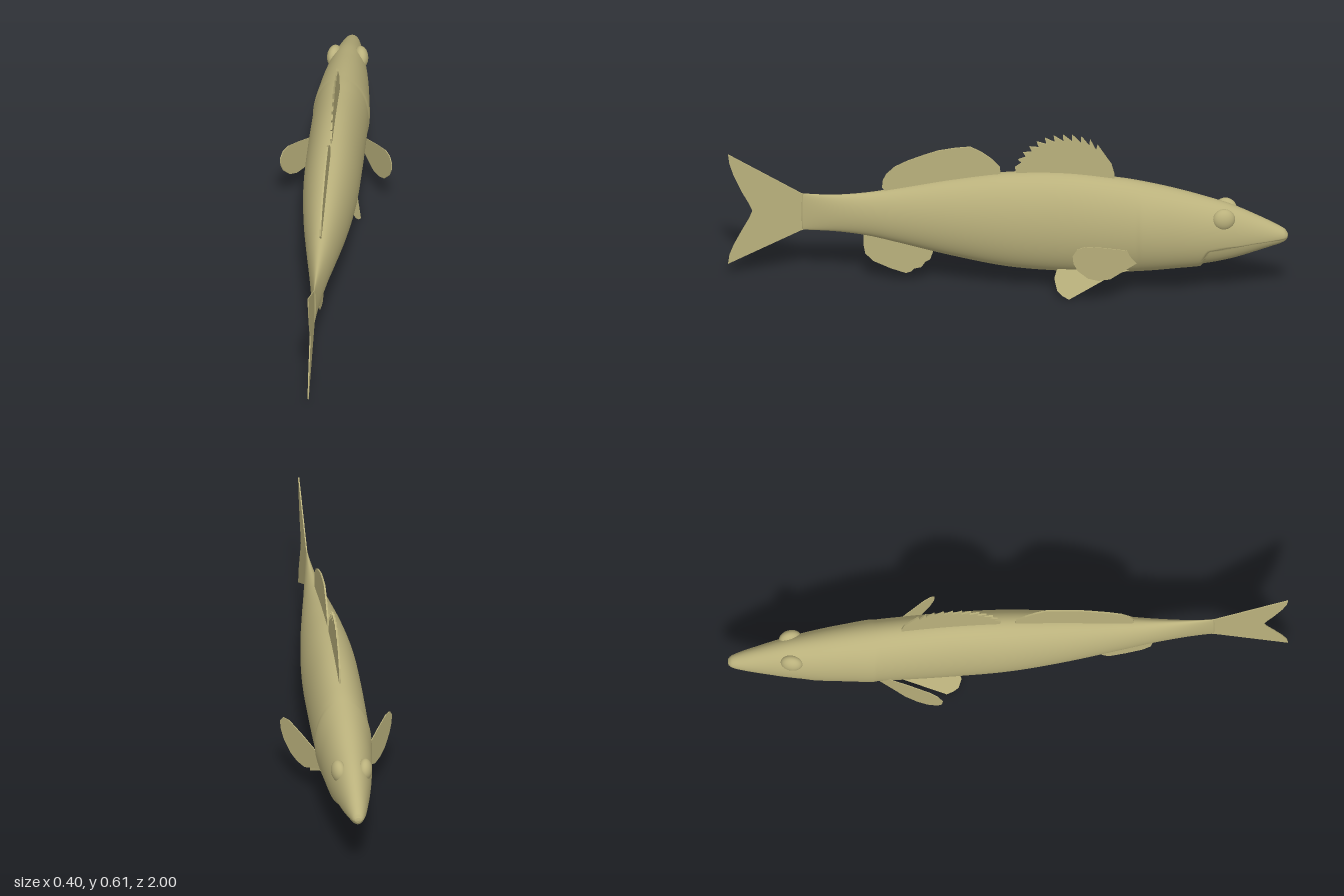
import * as THREE from 'three';

const olive = new THREE.MeshStandardMaterial({ color: 0xbab17c });
olive.name = 'olive';
const { smoothstep, lerp } = THREE.MathUtils;

// Body stations from nose to tail root: z, back height, belly height, half width
const STATIONS = [
  [-0.998, 0.256, 0.236, 0.012], [-0.985, 0.272, 0.222, 0.022], [-0.95, 0.291, 0.203, 0.033],
  [-0.9, 0.315, 0.18, 0.044], [-0.8, 0.357, 0.144, 0.064], [-0.7, 0.386, 0.12, 0.08],
  [-0.6, 0.411, 0.106, 0.091], [-0.5, 0.431, 0.093, 0.097], [-0.4, 0.446, 0.085, 0.099],
  [-0.2, 0.462, 0.08, 0.1], [0, 0.453, 0.09, 0.097], [0.2, 0.42, 0.124, 0.08],
  [0.4, 0.376, 0.168, 0.053], [0.5, 0.356, 0.188, 0.038], [0.6, 0.344, 0.198, 0.024],
  [0.68, 0.342, 0.2, 0.013], [0.735, 0.344, 0.2, 0.006],
];

// Height of the mouth line: gently falling from the nose, then curling down at the jaw hinge
function mouthHeight(z) {
  if (z < -0.73) return lerp(0.245, 0.205, (z + 1) / 0.27);
  return lerp(0.205, 0.08, Math.min(1, ((z + 0.73) / 0.05) ** 2));
}

function bodyGeometry() {
  const spline = (pick) => new THREE.CatmullRomCurve3(STATIONS.map(pick), false, 'catmullrom', 0.5);
  const outline = spline(([z, top, low]) => new THREE.Vector3(z, top, low));
  const girth = spline(([z, , , w]) => new THREE.Vector3(z, w, 0));
  const rings = 220, sides = 96, pos = [], index = [];

  for (let i = -1; i <= rings + 1; i++) {
    const t = Math.min(1, Math.max(0, i / rings));
    const { x: z, y: top, z: low } = outline.getPoint(t);
    const width = girth.getPoint(t).y;
    const capped = i < 0 || i > rings;           // collapsed end rings close the body
    const mid = (top + low) / 2, half = (top - low) / 2;
    const gill = smoothstep(z, -0.6, -0.49) * (1 - smoothstep(z, -0.485, -0.465));
    for (let j = 0; j < sides; j++) {
      const a = (j / sides) * Math.PI * 2;
      let x = width * Math.cos(a), y = mid + half * Math.sin(a);
      x *= 1 + 0.04 * gill * Math.abs(Math.cos(a));
      const drop = mouthHeight(z) - y;
      if (z < -0.67 && drop > 0) {               // lower jaw sits inside the upper lip
        const inset = smoothstep(drop, 0, 0.008);
        x *= 1 - 0.1 * inset;
        y += 0.008 * inset * smoothstep(z, -1, -0.9);
      }
      if (capped) { x = 0; y = mid; }
      pos.push(x, y, z + (i < 0 ? -0.002 : i > rings ? 0.004 : 0));
    }
  }
  for (let i = 0; i < rings + 2; i++) {
    for (let j = 0; j < sides; j++) {
      const k = (j + 1) % sides;
      const a = i * sides + j, b = i * sides + k, c = a + sides, d = b + sides;
      if (i > 0) index.push(a, b, c);
      if (i < rings + 1) index.push(b, d, c);
      else if (i === rings + 1) index.push(b, d, c);
    }
  }
  const g = new THREE.BufferGeometry();
  g.setAttribute('position', new THREE.Float32BufferAttribute(pos, 3));
  g.setIndex(index);
  g.computeVertexNormals();
  return g;
}

// Thin fin drawn in (z, y); sideways(z, y) gives its x position
function fin(name, points, sideways = () => 0, thickness = 0.004) {
  const shape = new THREE.Shape(points.map(([z, y]) => new THREE.Vector2(z, y)));
  const g = new THREE.ExtrudeGeometry(shape, { depth: thickness, bevelEnabled: false });
  const p = g.attributes.position;
  for (let i = 0; i < p.count; i++) {
    const z = p.getX(i), y = p.getY(i), d = p.getZ(i) - thickness / 2;
    p.setXYZ(i, sideways(z, y) - d, y, z);
  }
  g.computeVertexNormals();
  const mesh = new THREE.Mesh(g, olive);
  mesh.name = name;
  return mesh;
}

// Spiny fin outline: backward-leaning tips with a notch behind each one
function spinyOutline() {
  const crest = new THREE.CatmullRomCurve3([
    [-0.37, 0.503], [-0.345, 0.545], [-0.305, 0.592], [-0.25, 0.612], [-0.19, 0.613],
    [-0.12, 0.593], [-0.065, 0.55], [-0.037, 0.51], [-0.025, 0.478],
  ].map(([z, y]) => new THREE.Vector3(z, y, 0)));
  const pts = [[-0.38, 0.43], [-0.38, 0.465], [-0.37, 0.503], [-0.345, 0.54]];
  const spines = 12;
  for (let i = 0; i < spines; i++) {
    const tip = crest.getPointAt(lerp(0.2, 1, i / (spines - 1)));
    pts.push([tip.x, tip.y]);
    if (i < spines - 1) pts.push([lerp(tip.x, -0.2, 0.06) - 0.002, lerp(tip.y, 0.42, 0.14)]);
  }
  pts.push([-0.03, 0.45], [-0.04, 0.43]);
  return pts;
}

export function createModel() {
  const fish = new THREE.Group();
  fish.name = 'fish';

  const body = new THREE.Mesh(bodyGeometry(), olive);
  body.name = 'body';
  fish.add(body);

  // Fins on the centre line
  fish.add(fin('spinyDorsalFin', spinyOutline(), undefined, 0.006));
  fish.add(fin('softDorsalFin', [
    [0.03, 0.42], [0.027, 0.45], [0.029, 0.476], [0.06, 0.508], [0.095, 0.533], [0.135, 0.552],
    [0.19, 0.545], [0.25, 0.532], [0.3, 0.513], [0.36, 0.487], [0.405, 0.462], [0.435, 0.432],
    [0.447, 0.408], [0.45, 0.38], [0.43, 0.35], [0.2, 0.39],
  ], undefined, 0.006));
  fish.add(fin('analFin', [
    [0.515, 0.21], [0.516, 0.15], [0.51, 0.115], [0.48, 0.086], [0.42, 0.06], [0.365, 0.043],
    [0.345, 0.05], [0.335, 0.062], [0.31, 0.068], [0.295, 0.09], [0.278, 0.1], [0.265, 0.14],
    [0.27, 0.17],
  ]));
  fish.add(fin('tailFin', [
    [0.72, 0.338], [0.74, 0.345], [1, 0.487], [0.995, 0.45], [0.98, 0.405], [0.95, 0.34],
    [0.925, 0.295], [0.913, 0.268], [0.925, 0.237], [0.95, 0.19], [0.98, 0.13], [0.995, 0.09],
    [1, 0.054], [0.74, 0.197], [0.72, 0.205],
  ]));

  // Paired fins and eyes
  for (const [side, s] of [['left', 1], ['right', -1]]) {
    fish.add(fin(side + 'PectoralFin', [
      [-0.49, 0.19], [-0.44, 0.205], [-0.354, 0.237], [-0.29, 0.257], [-0.262, 0.252],
      [-0.247, 0.23], [-0.25, 0.2], [-0.265, 0.167], [-0.3, 0.129], [-0.335, 0.112],
      [-0.375, 0.108], [-0.44, 0.138], [-0.49, 0.16],
    ], (z) => s * (0.088 + (z + 0.44) * 0.575), 0.003));
    fish.add(fin(side + 'PelvicFin', [
      [-0.45, 0.112], [-0.38, 0.09], [-0.225, 0.004], [-0.2, 0.016], [-0.182, 0.032],
      [-0.17, 0.072], [-0.178, 0.1], [-0.2, 0.115], [-0.32, 0.125],
    ], (z, y) => s * (0.044 + (0.11 - y) * 0.43), 0.003));

    const eye = new THREE.Mesh(new THREE.SphereGeometry(0.04, 32, 20), olive);
    eye.name = side + 'Eye';
    eye.scale.set(0.65, 1, 1);
    eye.position.set(s * 0.047, 0.322, -0.775);
    eye.rotation.y = s * 0.2;
    fish.add(eye);
  }
  return fish;
}
